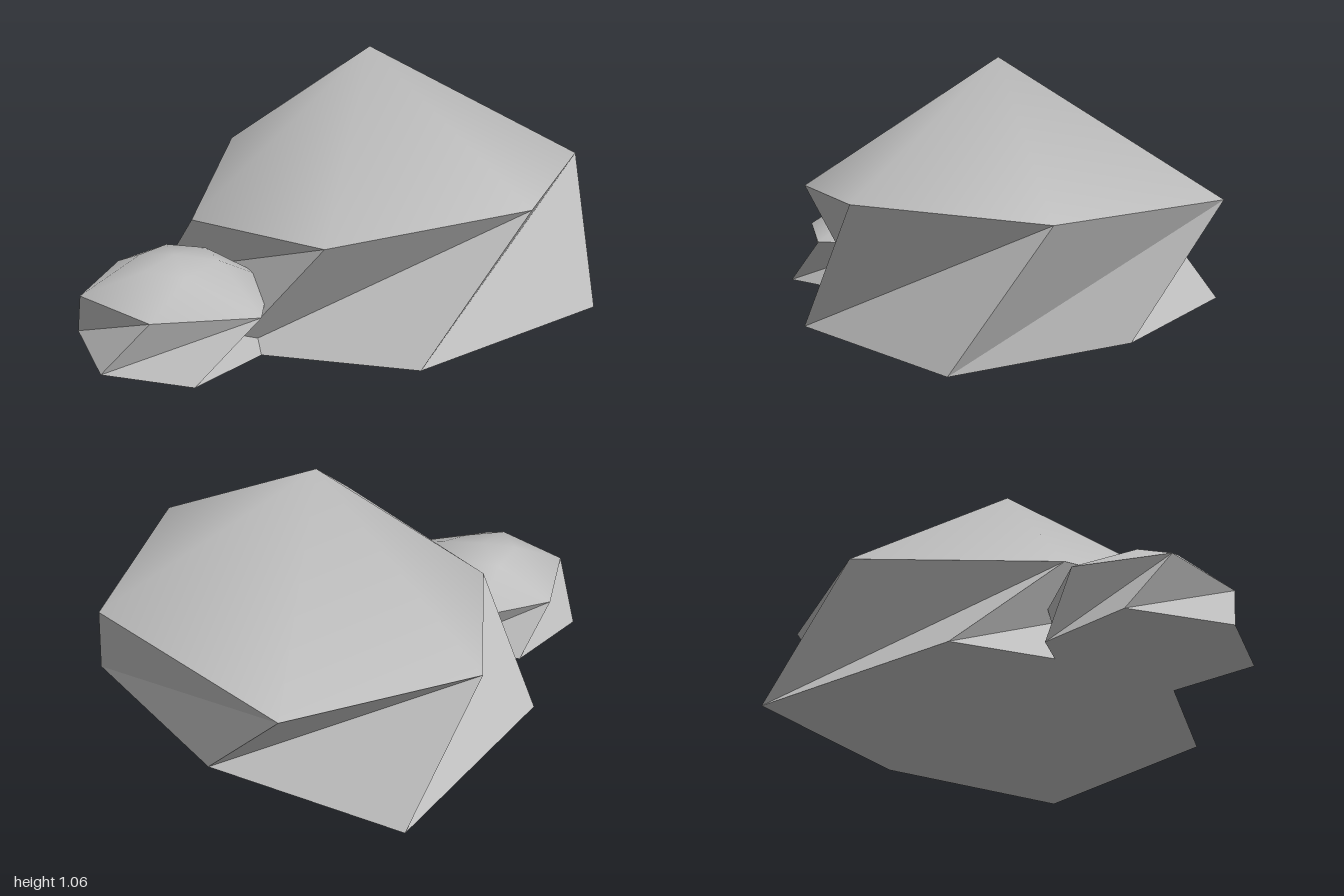
import * as THREE from 'three';
import { mergeVertices, toCreasedNormals } from 'three/addons/utils/BufferGeometryUtils.js';

// Triangles joining two six-point rings with a twist
function band(lower, upper) {
  return upper.flatMap((p, k) => {
    const j = (k + 1) % upper.length;
    return [p, upper[j], lower[j], p, lower[j], lower[k]];
  });
}

// Triangles from a ring up to a peak, or down to a floor centre
const fanUp = (ring, peak) => ring.flatMap((p, k) => [p, peak, ring[(k + 1) % ring.length]]);
const fanDown = (ring, centre) => ring.flatMap((p, k) => [centre, p, ring[(k + 1) % ring.length]]);

function surface(corners) {
  const geometry = new THREE.BufferGeometry();
  geometry.setAttribute('position', new THREE.Float32BufferAttribute(corners.flat(), 3));
  return geometry;
}

// Boulder with sharp twisted sides, a flat underside and a smooth crown
function boulder(name, material, base, rim, shoulders, peak) {
  const group = new THREE.Group();
  group.name = name;

  const sides = toCreasedNormals(
    surface([...fanDown(base, [peak[0], 0, peak[2]]), ...band(base, rim)]),
    THREE.MathUtils.degToRad(25),
  );

  const rings = [rim, ...shoulders];
  const crownCorners = fanUp(rings[rings.length - 1], peak);
  shoulders.forEach((ring, i) => crownCorners.push(...band(rings[i], ring)));
  const crown = mergeVertices(surface(crownCorners));
  crown.computeVertexNormals();

  for (const [part, geometry] of [['sides', sides], ['crown', crown]]) {
    const mesh = new THREE.Mesh(geometry, material);
    mesh.name = part;
    group.add(mesh);
  }
  return group;
}

export function createModel() {
  const group = new THREE.Group();
  group.name = 'boulders';
  const stone = new THREE.MeshStandardMaterial({ color: 0xbcbcbc });
  stone.name = 'stone grey';

  // Large boulder: ground ring, overhanging rim, pointed crown
  group.add(boulder('largeBoulder', stone,
    [[1.0, 0, -0.06], [0.4, 0, 0.66], [-0.36, 0, 0.65],
      [-0.86, 0, -0.06], [-0.42, 0, -0.92], [0.4, 0, -0.65]],
    [[0.87, 0.54, -0.42], [0.77, 0.57, 0.36], [0.05, 0.51, 0.76],
      [-0.6, 0.4, 0.31], [-0.66, 0.47, -0.51], [0.05, 0.51, -0.97]],
    [],
    [0.055, 1.06, -0.06]));

  // Small boulder: ground ring, rim, shoulder ring, low domed top
  group.add(boulder('smallBoulder', stone,
    [[-0.2, 0, 0.6], [-0.4, 0, 0.97], [-0.78, 0, 0.94],
      [-1.0, 0, 0.59], [-0.78, 0, 0.27], [-0.4, 0, 0.28]],
    [[-0.25, 0.22, 0.42], [-0.19, 0.22, 0.78], [-0.58, 0.225, 0.93],
      [-0.92, 0.23, 0.75], [-0.89, 0.23, 0.39], [-0.58, 0.22, 0.24]],
    [[[-0.4, 0.36, 0.6], [-0.5, 0.33, 0.72], [-0.66, 0.35, 0.74],
      [-0.72, 0.36, 0.6], [-0.66, 0.35, 0.46], [-0.5, 0.35, 0.46]]],
    [-0.58, 0.37, 0.6]));

  return group;
}
